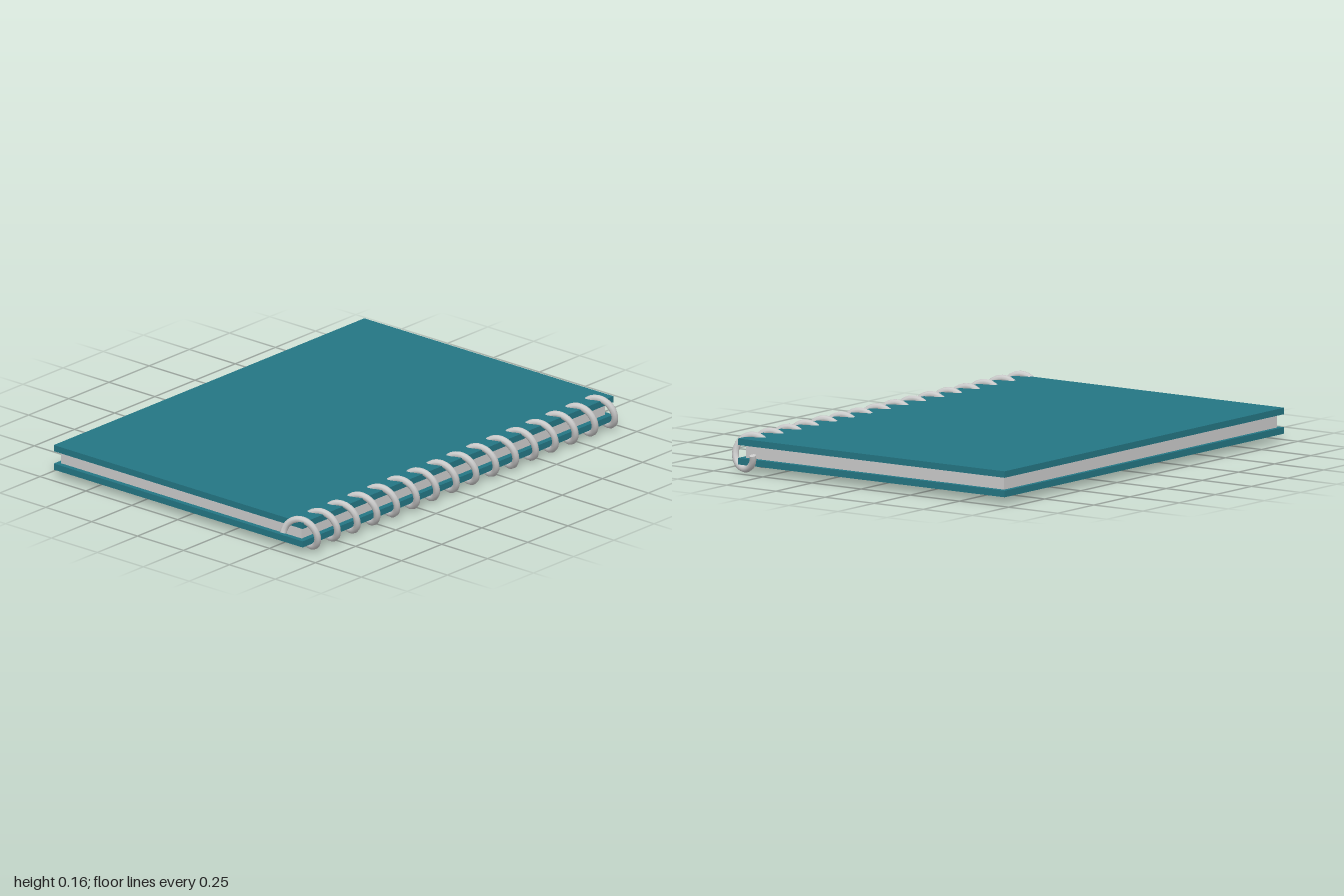
import * as THREE from 'three';

const TURNS = 16, COIL_R = 0.066, WIRE_R = 0.0145, COIL_Y = 0.0815, COIL_Z = 0.628, HALF_LENGTH = 0.986;

// Helix that winds along x, starting and ending on the page side
class Helix extends THREE.Curve {
  getPoint(t, target = new THREE.Vector3()) {
    const a = t * TURNS * Math.PI * 2;
    return target.set(
      (2 * t - 1) * HALF_LENGTH,
      COIL_Y + COIL_R * Math.sin(a),
      COIL_Z - COIL_R * Math.cos(a));
  }
}

export function createModel() {
  const group = new THREE.Group();
  const teal = new THREE.MeshStandardMaterial({ color: 0x247684 });
  const grey = new THREE.MeshStandardMaterial({ color: 0xcccccc });

  // Box given by half width and its y and z limits
  const slab = (name, halfX, y0, y1, z0, z1, material) => {
    const mesh = new THREE.Mesh(new THREE.BoxGeometry(halfX * 2, y1 - y0, z1 - z0), material);
    mesh.position.set(0, (y0 + y1) / 2, (z0 + z1) / 2);
    mesh.name = name;
    group.add(mesh);
  };
  slab('bottomCover', 0.966, 0.033, 0.060, -0.705, 0.651, teal);
  slab('pages', 0.944, 0.060, 0.114, -0.686, 0.626, grey);
  slab('topCover', 0.966, 0.114, 0.141, -0.705, 0.651, teal);

  // Spiral wire binding along the front edge
  const helix = new Helix();
  const wire = new THREE.Mesh(new THREE.TubeGeometry(helix, TURNS * 28, WIRE_R, 8, false), grey);
  wire.name = 'spiralBinding';
  group.add(wire);

  // Flat caps closing both wire ends
  for (const [t, sign] of [[0, -1], [1, 1]]) {
    const cap = new THREE.Mesh(new THREE.CircleGeometry(WIRE_R, 8), grey);
    cap.name = 'wireEnd';
    cap.position.copy(helix.getPoint(t));
    cap.quaternion.setFromUnitVectors(new THREE.Vector3(0, 0, 1), helix.getTangent(t).multiplyScalar(sign));
    group.add(cap);
  }
  return group;
}
